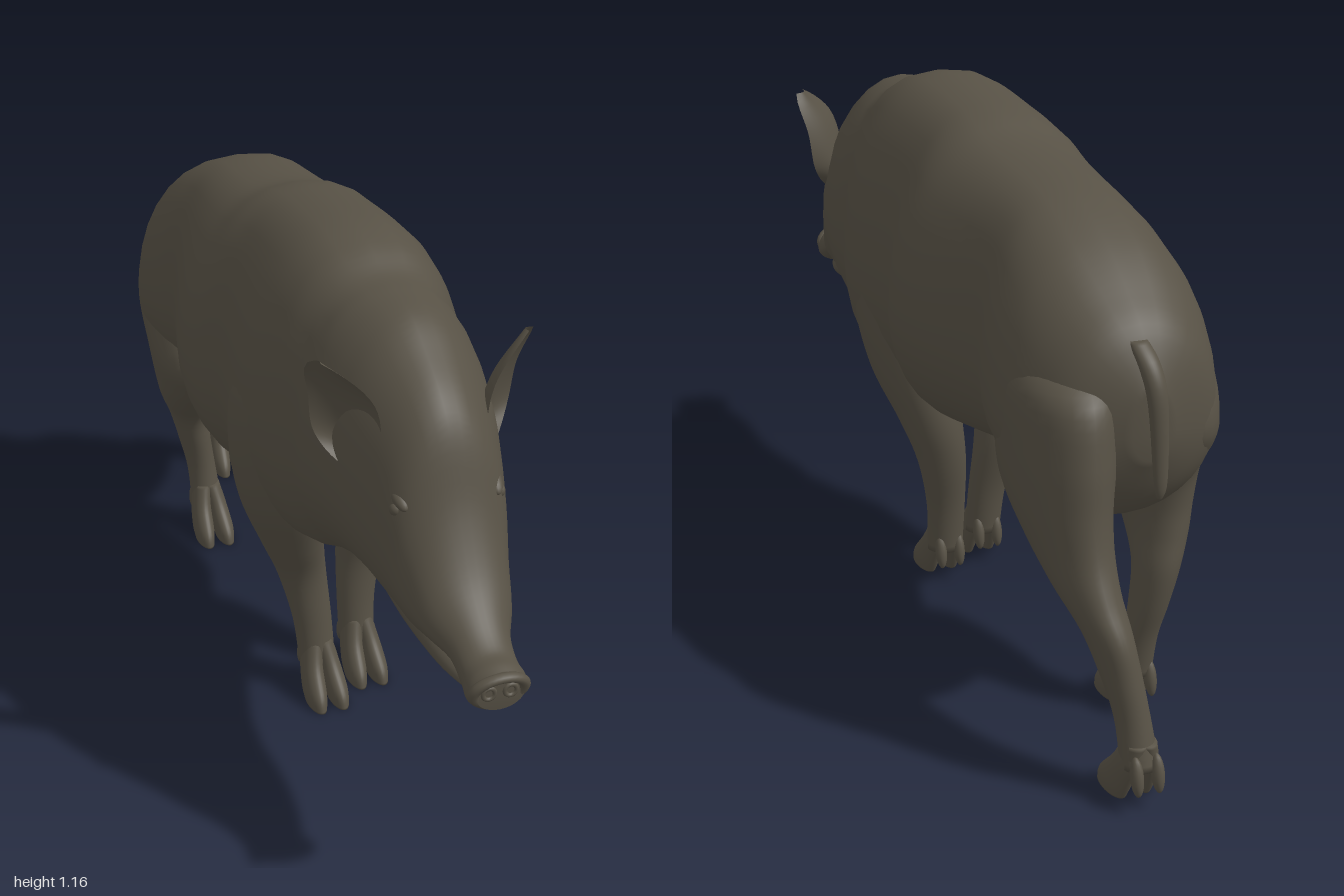
import * as THREE from 'three';

const hide = new THREE.MeshStandardMaterial({ color: 0x575145, side: THREE.DoubleSide });
hide.name = 'dark brown hide';
const RING = 32;
const { clamp, lerp } = THREE.MathUtils;

function part(parent, name, geometry) {
  const m = new THREE.Mesh(geometry, hide);
  m.name = name;
  parent.add(m);
  return m;
}

// Catmull-Rom smoothing of a short list of section rows
function smooth(rows, steps = 5) {
  const out = [];
  for (let i = 0; i < rows.length - 1; i++) {
    const p = rows[Math.max(i - 1, 0)], a = rows[i], b = rows[i + 1], n = rows[Math.min(i + 2, rows.length - 1)];
    for (let s = 0; s < steps; s++) {
      const t = s / steps;
      out.push(a.map((v, k) => 0.5 * (2 * v + (b[k] - p[k]) * t
        + (2 * p[k] - 5 * v + 4 * b[k] - n[k]) * t * t
        + (3 * v - p[k] - 3 * b[k] + n[k]) * t * t * t)));
    }
  }
  out.push(rows[rows.length - 1]);
  return out;
}

// Skin over smoothed rings with both ends closed
function loft(sections, point) {
  const rows = smooth(sections), pos = [], idx = [], last = rows.length - 1;
  rows.forEach(r => {
    for (let j = 0; j < RING; j++) pos.push(...point(r, (j / RING) * Math.PI * 2));
  });
  for (let i = 0; i < last; i++) {
    for (let j = 0; j < RING; j++) {
      const k = (j + 1) % RING, a = i * RING, c = a + RING;
      idx.push(a + j, c + j, a + k, a + k, c + j, c + k);
    }
  }
  [0, last].forEach(i => {
    const center = pos.length / 3, p = point(rows[i], 0), q = point(rows[i], Math.PI);
    pos.push(...p.map((v, k) => (v + q[k]) / 2));
    for (let j = 0; j < RING; j++) {
      const a = i * RING + j, b = i * RING + (j + 1) % RING;
      if (i === 0) idx.push(center, a, b); else idx.push(center, b, a);
    }
  });
  const g = new THREE.BufferGeometry();
  g.setAttribute('position', new THREE.Float32BufferAttribute(pos, 3));
  g.setIndex(idx);
  g.computeVertexNormals();
  return g;
}

// Rows along z: [z, top, bottom, half width]; widest at 40% of the height, head slightly turned aside.
// The trunk is fuller than an ellipse and its side creases fade out toward the spine.
const bodyPoint = ([z, top, bot, w], a) => {
  const s = Math.sin(a), c = Math.cos(a), mid = bot + 0.4 * (top - bot);
  const trunk = clamp(5 * Math.min(0.5 - z, z + 0.8), 0, 1);
  const half = s > 0 ? lerp(w, 0.235, trunk * s * s * 0.8) : w;
  const x = half * Math.sign(c) * Math.pow(Math.abs(c), 1 - 0.2 * trunk);
  return [0.015 * clamp(z / 0.5, -0.7, 1) + x, mid + s * (s > 0 ? top - mid : mid - bot), z];
};
// Rows down y: [y, x, z, radius x, radius z]
const limbPoint = ([y, x, z, rx, rz], a) => [x + rx * Math.cos(a), y, z - rz * Math.sin(a)];

// Leg with two cloven toes and two dewclaws
function addLeg(root, name, rows) {
  const leg = new THREE.Group();
  leg.name = name;
  root.add(leg);
  part(leg, 'limb', loft(rows, limbPoint));
  const [, x, z] = rows[rows.length - 1];
  for (const s of [-1, 1]) {
    part(leg, 'toe', loft([
      [0.13, x + s * 0.01, z, 0.022, 0.03],
      [0.08, x + s * 0.02, z + 0.018, 0.023, 0.04],
      [0.03, x + s * 0.025, z + 0.052, 0.024, 0.053],
      [0, x + s * 0.026, z + 0.066, 0.02, 0.051],
    ], limbPoint));
    const claw = part(leg, 'dewclaw', new THREE.SphereGeometry(1, 14, 10));
    claw.scale.set(0.013, 0.04, 0.015);
    claw.position.set(x + s * 0.022, 0.075, z - 0.035);
    claw.rotation.x = 0.25;
  }
}

// Cupped, pointed ear bent out of a plane; s is the side
function earGeometry(s) {
  const g = new THREE.PlaneGeometry(2, 1, 14, 16), p = g.attributes.position;
  const line = new THREE.CatmullRomCurve3([
    new THREE.Vector3(0.145, 0.83, 0.585), new THREE.Vector3(0.157, 0.89, 0.575),
    new THREE.Vector3(0.172, 0.97, 0.575), new THREE.Vector3(0.222, 1.05, 0.57)]);
  for (let i = 0; i < p.count; i++) {
    const v = p.getX(i), u = p.getY(i) + 0.5, c = line.getPoint(u);
    const half = 0.078 * Math.pow(Math.sin(Math.PI * (0.1 + 0.88 * u)), 0.6);
    const cup = 0.05 * (1 - v * v) * (1 - 0.75 * u);
    p.setXYZ(i, 0.015 + s * (c.x + v * half * 0.64 - cup * 0.7), c.y - v * half * 0.15, c.z - v * half * 0.76 - cup * 0.7);
  }
  g.computeVertexNormals();
  return g;
}

export function createModel() {
  const root = new THREE.Group();
  root.name = 'boar';

  // Head, neck, trunk and rump in one skin
  part(root, 'body', loft([
    [0.985, 0.572, 0.49, 0.048],
    [0.965, 0.578, 0.484, 0.062],
    [0.93, 0.585, 0.5, 0.059],
    [0.88, 0.62, 0.525, 0.064],
    [0.82, 0.685, 0.53, 0.092],
    [0.76, 0.79, 0.515, 0.111],
    [0.71, 0.92, 0.51, 0.127],
    [0.66, 0.985, 0.517, 0.143],
    [0.58, 1.04, 0.532, 0.168],
    [0.5, 1.085, 0.525, 0.187],
    [0.42, 1.1, 0.505, 0.2],
    [0.36, 1.11, 0.48, 0.193],
    [0.28, 1.145, 0.45, 0.222],
    [0.18, 1.162, 0.44, 0.243],
    [0, 1.15, 0.45, 0.228],
    [-0.09, 1.135, 0.452, 0.257],
    [-0.2, 1.1, 0.468, 0.25],
    [-0.4, 1.075, 0.497, 0.2],
    [-0.5, 1.048, 0.49, 0.22],
    [-0.6, 1.002, 0.475, 0.225],
    [-0.69, 0.942, 0.48, 0.2],
    [-0.76, 0.88, 0.54, 0.148],
    [-0.81, 0.78, 0.64, 0.04],
  ], bodyPoint));

  // Lower jaw, leaving a mouth slit under the snout
  part(root, 'lowerJaw', loft([
    [0.95, 0.508, 0.488, 0.018],
    [0.91, 0.525, 0.488, 0.042],
    [0.83, 0.555, 0.488, 0.066],
    [0.72, 0.62, 0.503, 0.09],
    [0.62, 0.65, 0.53, 0.1],
  ], bodyPoint));

  // Snout rim
  const rim = part(root, 'snoutRim', new THREE.TorusGeometry(0.047, 0.011, 12, 32));
  rim.scale.set(1.1, 0.75, 1);
  rim.position.set(0.012, 0.532, 0.98);
  rim.rotation.x = 0.35;

  // Front and hind legs as they stand on the left
  const front = [
    [0.95, 0.1, 0.17, 0.085, 0.1], [0.8, 0.135, 0.165, 0.1, 0.14],
    [0.65, 0.142, 0.15, 0.1, 0.14], [0.52, 0.13, 0.115, 0.092, 0.115],
    [0.4, 0.104, 0.07, 0.07, 0.078], [0.3, 0.083, 0.056, 0.055, 0.052],
    [0.18, 0.07, 0.068, 0.044, 0.039], [0.07, 0.069, 0.08, 0.041, 0.04],
  ];
  const hind = [
    [0.82, 0.085, -0.6, 0.08, 0.1], [0.76, 0.103, -0.63, 0.102, 0.165],
    [0.65, 0.113, -0.64, 0.1, 0.19], [0.55, 0.12, -0.66, 0.09, 0.185],
    [0.47, 0.12, -0.72, 0.075, 0.145], [0.4, 0.115, -0.79, 0.06, 0.108],
    [0.33, 0.1, -0.86, 0.046, 0.075], [0.25, 0.085, -0.9, 0.039, 0.05],
    [0.17, 0.072, -0.926, 0.035, 0.038], [0.08, 0.065, -0.948, 0.038, 0.038],
  ];
  addLeg(root, 'leftFrontLeg', front);
  addLeg(root, 'leftHindLeg', hind);

  // The right legs mirror them, swung forward more and more toward the foot
  addLeg(root, 'rightFrontLeg', front.map(([y, x, z, rx, rz]) =>
    [y, -x + 0.025 * Math.max(0, 1 - y / 0.4), z + 0.06 * clamp((0.65 - y) / 0.25, 0, 1), rx, rz]));
  addLeg(root, 'rightHindLeg', hind.map(([y, x, z, rx, rz]) =>
    [y, -x - 0.015, z + 0.03 + 0.3 * Math.pow(clamp((0.65 - y) / 0.57, 0, 1), 0.75), rx, y > 0.3 ? rz * 0.85 : rz]));

  // Nostrils, eyes, brows and ears
  for (const s of [-1, 1]) {
    const side = s > 0 ? 'left' : 'right';
    const nostril = part(root, side + 'Nostril', new THREE.TorusGeometry(0.012, 0.005, 8, 16));
    nostril.position.set(0.012 + s * 0.022, 0.53, 0.984);
    const eye = part(root, side + 'Eye', new THREE.SphereGeometry(0.014, 16, 12));
    eye.position.set(0.015 + s * 0.105, 0.787, 0.705);
    const brow = part(root, side + 'Brow', new THREE.SphereGeometry(1, 20, 14));
    brow.scale.set(0.018, 0.014, 0.04);
    brow.position.set(0.015 + s * 0.095, 0.812, 0.695);
    brow.rotation.x = 0.5;
    part(root, side + 'Ear', earGeometry(s));
  }

  // Hanging tail
  part(root, 'tail', loft([
    [0.87, 0, -0.755, 0.02, 0.02], [0.83, -0.008, -0.797, 0.022, 0.02],
    [0.76, -0.015, -0.823, 0.02, 0.016], [0.61, -0.02, -0.832, 0.014, 0.01],
    [0.57, -0.02, -0.83, 0.005, 0.004],
  ], limbPoint));

  return root;
}
